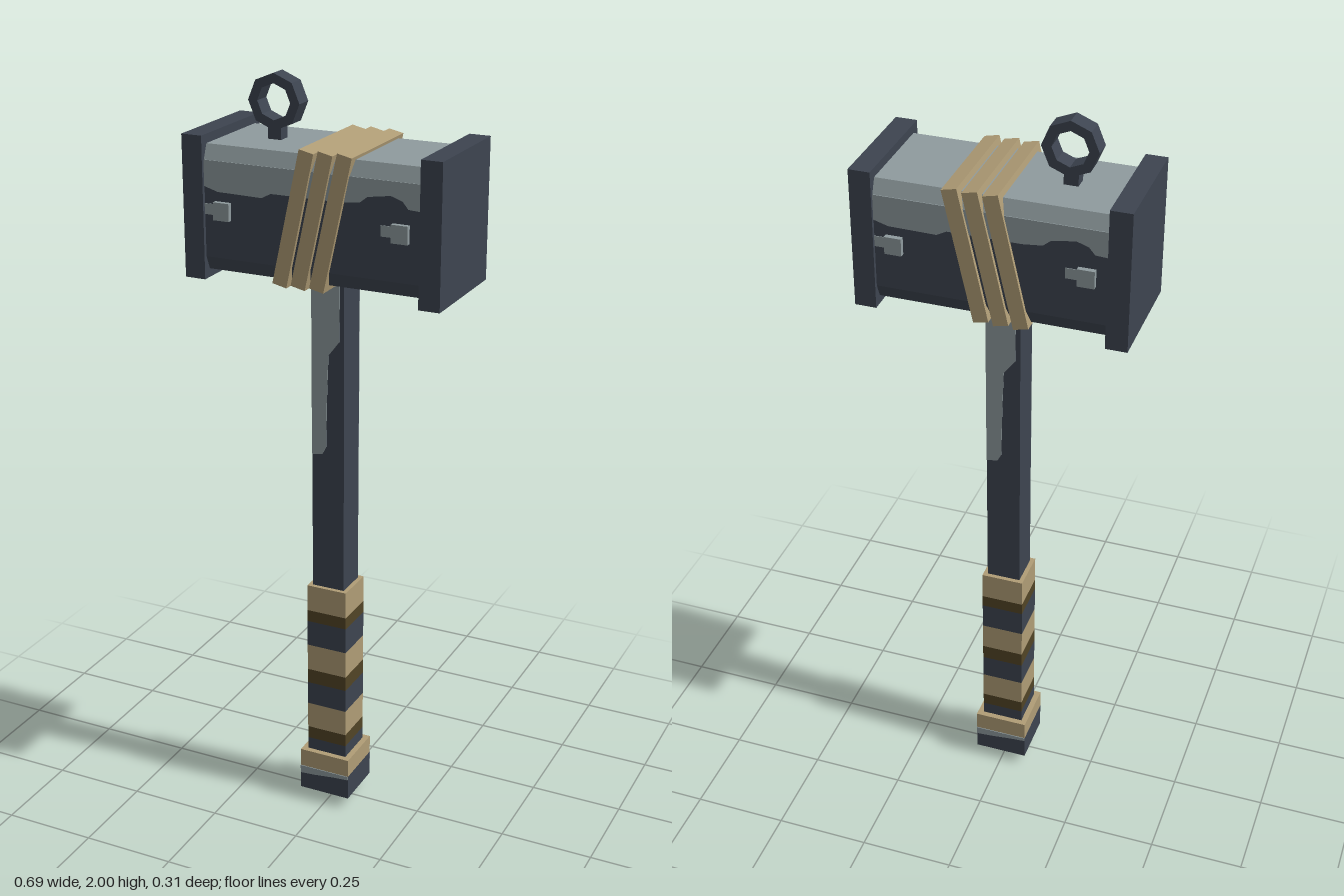
import * as THREE from 'three';

const mat = (name, color) => {
  const m = new THREE.MeshStandardMaterial({ color });
  m.name = name;
  return m;
};

export function createModel() {
  const slate = mat('dark slate', 0x3d4450);
  const steel = mat('worn steel', 0x8f9b9e);
  const tan = mat('tan leather', 0xb09d76);
  const brown = mat('dark leather', 0x524426);

  const model = new THREE.Group();
  model.name = 'hammer';

  const add = (name, geometry, material, parent = model) => {
    const mesh = new THREE.Mesh(geometry, material);
    mesh.name = name;
    parent.add(mesh);
    return mesh;
  };
  // Box given by its centre x, z, its y range and its width and depth
  const box = (name, material, x, y0, y1, w, d = w, z = 0, parent = model) => {
    const mesh = add(name, new THREE.BoxGeometry(w, y1 - y0, d), material, parent);
    mesh.position.set(x, (y0 + y1) / 2, z);
    return mesh;
  };
  const extrude = (points, depth) => new THREE.ExtrudeGeometry(
    new THREE.Shape(points.map(([x, y]) => new THREE.Vector2(x, y))),
    { depth, bevelEnabled: false });

  // Head: prism with chamfered long edges, steel on top and slate below
  const prism = (name, points, material) => {
    const g = extrude(points, 0.58);
    g.translate(0, 0, -0.29);
    g.rotateY(Math.PI / 2);
    add(name, g, material);
  };
  prism('headLower', [[-0.125, 1.522], [0.125, 1.522], [0.14, 1.557], [0.14, 1.8], [-0.14, 1.8], [-0.14, 1.557]], slate);
  prism('headTop', [[-0.14, 1.8], [0.14, 1.8], [0.125, 1.837], [-0.125, 1.837]], steel);
  for (const s of [-1, 1]) box('headCap', slate, s * 0.315, 1.5, 1.86, 0.055, 0.3);

  // Slanted leather straps around the head
  for (let i = 0; i < 3; i++) {
    const strap = box('headStrap', tan, -0.043 + i * 0.05, 1.507, 1.853, 0.039, 0.3);
    strap.rotation.z = -0.218;
  }

  // Hanging ring on a short neck
  box('ringNeck', slate, -0.157, 1.83, 1.875, 0.036, 0.036);
  const octagon = (r) => Array.from({ length: 8 }, (_, i) =>
    new THREE.Vector2(r * Math.cos(i * Math.PI / 4), r * Math.sin(i * Math.PI / 4)));
  const ringShape = new THREE.Shape(octagon(0.07));
  ringShape.holes.push(new THREE.Path(octagon(0.045).reverse()));
  const ring = add('hangingRing', new THREE.ExtrudeGeometry(ringShape, { depth: 0.048, bevelEnabled: false }), slate);
  ring.position.set(-0.155, 1.93, -0.024);

  // Handle and wrapped grip
  box('handle', slate, 0, 0.6, 1.53, 0.09);
  const levels = [0.657, 0.583, 0.55, 0.478, 0.403, 0.362, 0.297, 0.223, 0.188, 0.15];
  const wraps = [tan, brown, slate];
  for (let i = 0; i < 9; i++) box('gripWrap', wraps[i % 3], 0, levels[i + 1], levels[i], 0.113);

  // Pommel
  box('pommelBand', tan, 0, 0.103, 0.154, 0.144);
  box('pommel', slate, 0, 0.033, 0.103, 0.144);
  box('pommelNub', steel, 0, 0, 0.033, 0.05);

  // Worn patches and studs, the same on front and back
  for (const turn of [0, Math.PI]) {
    const side = new THREE.Group();
    side.name = turn ? 'backDetails' : 'frontDetails';
    side.rotation.y = turn;
    model.add(side);
    const patch = (name, points, z) => {
      add(name, extrude(points, 0.002), steel, side).position.z = z;
    };
    patch('headWear', [[-0.288, 1.8], [-0.288, 1.735], [-0.25, 1.724], [-0.13, 1.722], [-0.105, 1.735],
      [0.08, 1.735], [0.13, 1.74], [0.15, 1.756], [0.21, 1.765], [0.24, 1.755], [0.255, 1.737],
      [0.288, 1.735], [0.288, 1.8]], 0.14);
    patch('handleWear', [[-0.045, 1.522], [-0.045, 1.035], [-0.015, 1.04], [-0.005, 1.06], [-0.002, 1.2],
      [0.002, 1.31], [0.032, 1.35], [0.034, 1.522]], 0.045);
    patch('pommelWear', [[-0.072, 0.103], [-0.072, 0.08], [-0.03, 0.083], [0.03, 0.09], [0.072, 0.093], [0.072, 0.103]], 0.072);
    for (const x of [-0.237, 0.237]) {
      box('stud', steel, x, 1.655, 1.7, 0.043, 0.02, 0.143, side);
      box('studWear', steel, x - 0.037, 1.665, 1.692, 0.031, 0.004, 0.14, side);
    }
  }
  return model;
}
